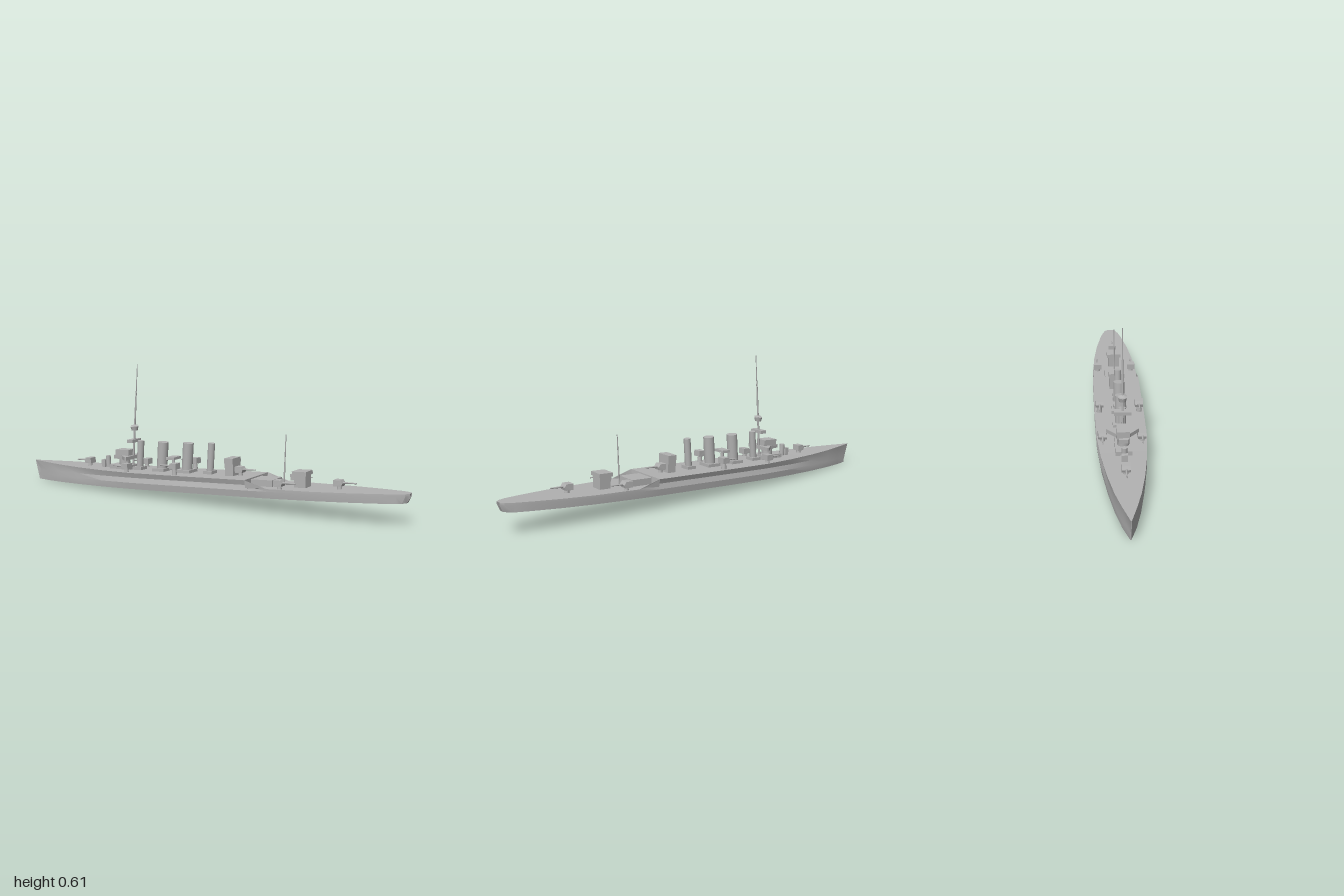
import * as THREE from 'three';
import { toCreasedNormals } from 'three/addons/utils/BufferGeometryUtils.js';

const grey = new THREE.MeshStandardMaterial({ color: 0xb2b2b2, side: THREE.DoubleSide });
grey.name = 'hull grey';

// Stations along the hull: position, half width, side top, deck height
const STATIONS = [
  [-0.997, 0.002, 0.097, 0.097], [-0.9, 0.028, 0.093, 0.093], [-0.8, 0.052, 0.089, 0.089],
  [-0.66, 0.076, 0.084, 0.084], [-0.5, 0.096, 0.08, 0.08], [-0.33, 0.109, 0.077, 0.077],
  [-0.1, 0.112, 0.076, 0.076], [0.295, 0.112, 0.075, 0.075], [0.296, 0.112, 0.075, 0.04],
  [0.4, 0.11, 0.042, 0.04], [0.6, 0.098, 0.04, 0.04], [0.75, 0.081, 0.04, 0.04],
  [0.88, 0.058, 0.04, 0.04], [0.95, 0.042, 0.04, 0.04], [0.985, 0.028, 0.04, 0.04],
  [1.0, 0.012, 0.04, 0.04],
];

function deckAt(x) {
  const i = Math.max(1, STATIONS.findIndex((s) => s[0] >= x));
  const a = STATIONS[i - 1], b = STATIONS[i];
  return a[3] + (b[3] - a[3]) * (x - a[0]) / (b[0] - a[0]);
}

// Hull lofted from cross-sections with a pinched band along the side
function hullGeometry() {
  const pos = [], index = [];
  const last = STATIONS.length - 1;
  STATIONS.forEach(([x, w, top, deck], i) => {
    const bow = i === 0 ? 1 : 0, stern = i >= last - 1 ? 1 : 0;
    const side = [
      [0, 0.96, 0.02 * bow - 0.015 * stern],
      [Math.min(0.03, top * 0.92), 1, 0.024 * bow],
      [Math.min(0.053, top * 0.96), top > 0.05 ? 0.93 : 1, 0.029 * bow],
      [top, 1, 0],
      [deck, 0.97, 0],
    ];
    side.forEach(([y, k, dx]) => pos.push(x + dx, y, w * k));
    side.reverse().forEach(([y, k, dx]) => pos.push(x + dx, y, -w * k));
  });
  const n = 10;
  for (let i = 0; i < last; i++) {
    for (let j = 0; j < n; j++) {
      const k = (j + 1) % n;
      const a = i * n + j, b = i * n + k, c = a + n, d = b + n;
      index.push(a, c, b, b, c, d);
    }
  }
  // End caps
  for (let j = 1; j < n - 1; j++) {
    index.push(0, j, j + 1);
    index.push(last * n, last * n + j + 1, last * n + j);
  }
  const g = new THREE.BufferGeometry();
  g.setAttribute('position', new THREE.Float32BufferAttribute(pos, 3));
  g.setIndex(index);
  return toCreasedNormals(g, 0.4);
}

export function createModel() {
  const model = new THREE.Group();
  model.name = 'warship';
  const ship = new THREE.Group();
  ship.name = 'ship';
  model.add(ship);

  function add(name, geometry, x, y, z, parent = ship) {
    const m = new THREE.Mesh(geometry, grey);
    m.name = name;
    m.position.set(x, y, z);
    parent.add(m);
    return m;
  }
  // Box standing on height y
  const box = (name, x, y, z, l, h, w) =>
    add(name, new THREE.BoxGeometry(l, h, w), x, y + h / 2, z);
  // Upright cylinder standing on height y, raked towards the stern
  function post(name, x, y, z, rTop, rBottom, h, rake = 0, sides = 16) {
    const g = new THREE.CylinderGeometry(rTop, rBottom, h, sides).translate(0, h / 2, 0);
    const m = add(name, g, x, y, z);
    m.rotation.z = -rake;
    return m;
  }

  add('hull', hullGeometry(), 0, 0, 0);

  // Shielded guns; dir is -1 for the bow, 1 for the stern
  const shield = new THREE.Shape([
    [-0.02, 0.013], [0.016, 0.013], [0.02, 0.026], [0.012, 0.04], [-0.02, 0.04],
  ].map(([x, y]) => new THREE.Vector2(x, y)));
  const shieldGeo = new THREE.ExtrudeGeometry(shield, { depth: 0.036, bevelEnabled: false })
    .translate(0, 0, -0.018);
  const p = shieldGeo.attributes.position;
  for (let i = 0; i < p.count; i++) if (p.getX(i) < 0) p.setZ(i, p.getZ(i) * 1.1);
  shieldGeo.computeVertexNormals();
  const barrelGeo = new THREE.CylinderGeometry(0.0028, 0.0045, 0.065, 8).rotateZ(-Math.PI / 2);
  function gun(x, z, dir, y = deckAt(x)) {
    const g = new THREE.Group();
    g.name = 'gun';
    g.position.set(x, y, z);
    g.rotation.y = dir < 0 ? Math.PI : 0;
    ship.add(g);
    add('gunPedestal', new THREE.CylinderGeometry(0.009, 0.013, 0.034, 10), 0, 0.001, 0, g);
    add('gunShield', shieldGeo, 0, 0, 0, g);
    add('gunBarrel', barrelGeo, 0.045, 0.027, 0, g);
  }
  gun(-0.64, 0, -1);
  gun(0.69, 0, 1);
  gun(0.215, 0, 1);
  for (const s of [1, -1]) {
    gun(-0.355, s * 0.085, -1);
    gun(-0.08, s * 0.09, -1, deckAt(-0.08) + 0.015);
    gun(0.45, s * 0.084, 1);
  }

  // Raked funnels on their casings: x, radius, height, casing length, casing width
  const RAKE = 0.11;
  for (const [x, r, h, l, w] of [
    [-0.338, 0.016, 0.14, 0.05, 0.05],
    [-0.21, 0.025, 0.138, 0.066, 0.07],
    [-0.07, 0.025, 0.138, 0.07, 0.07],
    [0.055, 0.016, 0.141, 0.045, 0.05],
  ]) {
    const y = deckAt(x);
    box('funnelCasing', x, y - 0.002, 0, l, 0.016, w);
    post('funnel', x, y, 0, r, r, h, RAKE, 20);
  }

  // Raised platform between the middle funnels
  post('platformPost', -0.142, deckAt(-0.142) - 0.002, 0, 0.007, 0.009, 0.062);
  box('searchPlatform', -0.142, 0.134, 0, 0.045, 0.012, 0.06);

  // Forward bridge
  const fy = deckAt(-0.43);
  box('bridgeBase', -0.43, fy - 0.002, 0, 0.125, 0.022, 0.07);
  post('conningTower', -0.425, fy + 0.01, 0, 0.026, 0.026, 0.06);
  const bridge = new THREE.Shape([
    [-0.475, 0.02], [-0.475, -0.02], [-0.42, -0.03], [-0.375, -0.07],
    [-0.365, -0.07], [-0.365, 0.07], [-0.375, 0.07], [-0.42, 0.03],
  ].map(([x, z]) => new THREE.Vector2(x, z)));
  add('bridgeDeck', new THREE.ExtrudeGeometry(bridge, { depth: 0.017, bevelEnabled: false })
    .rotateX(-Math.PI / 2), 0, fy + 0.048, 0);
  box('bridgeHouse', -0.42, fy + 0.06, 0, 0.078, 0.033, 0.054);
  post('foredeckVent', -0.525, deckAt(-0.525) - 0.002, 0, 0.012, 0.012, 0.058);
  box('foredeckLocker', -0.548, deckAt(-0.548) - 0.002, 0, 0.02, 0.038, 0.026);

  // Foremast with its platforms
  const mx = -0.378;
  post('foremast', mx, fy, 0, 0.0035, 0.006, 0.37, RAKE, 10);
  post('foreTopmast', mx + 0.37 * RAKE, fy + 0.365, 0, 0.0018, 0.0025, 0.139, RAKE, 8);
  box('mastPlatform', mx + 0.014, 0.208, 0, 0.032, 0.015, 0.072);
  post('crowsNest', mx + 0.021, 0.265, 0, 0.019, 0.015, 0.018);
  post('crowsNestRoof', mx + 0.023, 0.288, 0, 0.006, 0.019, 0.005);

  // Midship control house and the house at the deck break
  box('controlHouse', 0.176, 0.073, 0, 0.042, 0.06, 0.07);
  box('controlHouseRoof', 0.176, 0.132, 0, 0.044, 0.022, 0.075);
  box('breakHouse', 0.345, 0.038, 0, 0.105, 0.031, 0.1);

  // Aft house and mizzen mast
  box('aftHouse', 0.52, 0.038, 0, 0.054, 0.055, 0.056);
  box('aftHouseRoof', 0.52, 0.093, 0, 0.066, 0.017, 0.07);
  post('mizzenMast', 0.43, 0.04, 0, 0.002, 0.004, 0.226, 0.08, 8);

  // Bow-down trim
  ship.rotation.z = 0.05;
  ship.position.y = 0.0488;
  return model;
}
